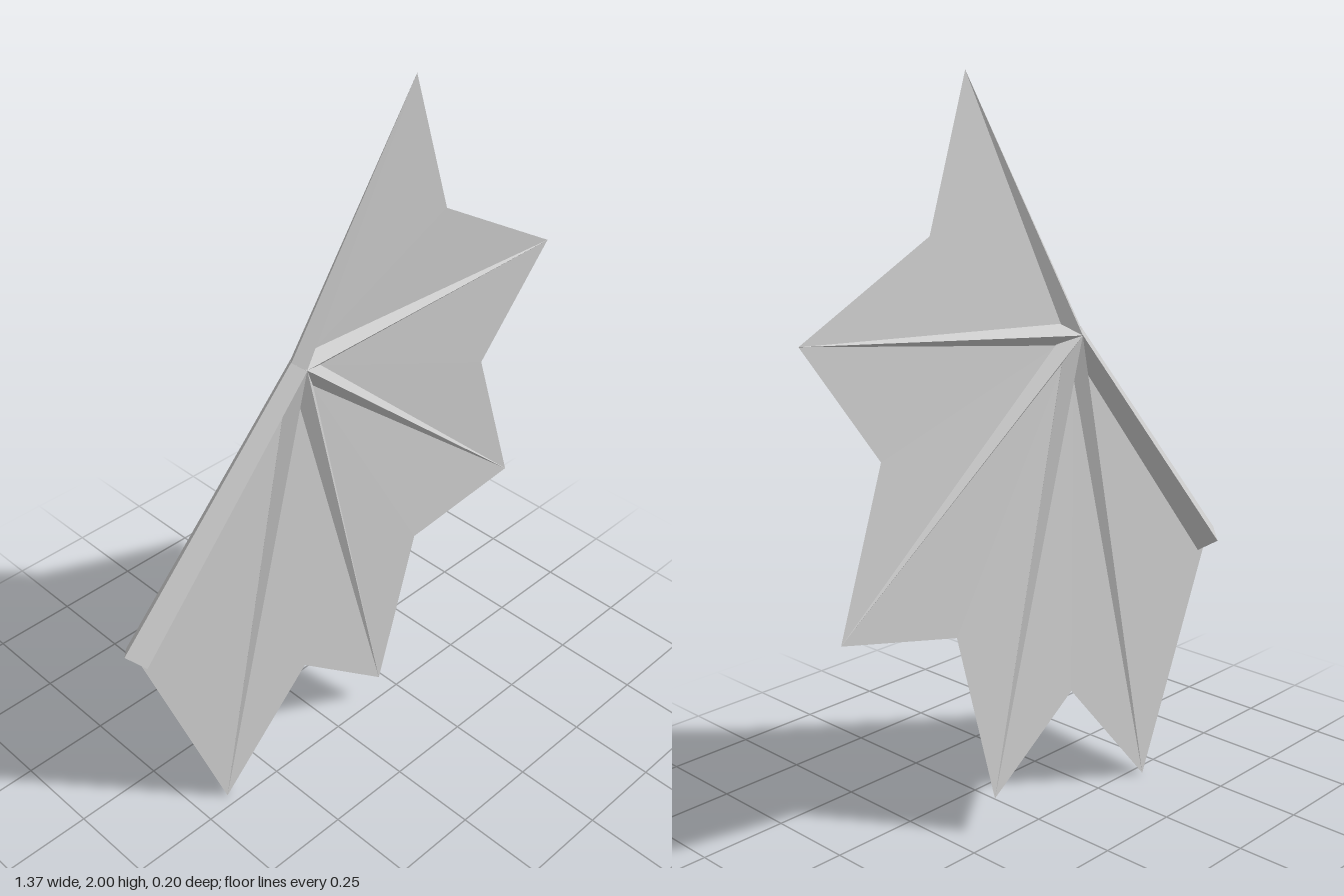
import * as THREE from 'three';

const HUB = new THREE.Vector3(-0.14, 1.335, 0.005);
const ARM_END = new THREE.Vector3(-0.65, 0.672, -0.058);

// Finger tips, clockwise from the top, and the notches between them
const TIPS = [
  [0.175, 2.0, 0.073], [0.68, 1.403, 0.1], [0.613, 0.672, 0.072],
  [0.15, 0.113, 0.02], [-0.41, 0.0, -0.032],
].map((p) => new THREE.Vector3(...p));
const NOTCHES = [
  [0.302, 1.62, 0.07], [0.473, 1.1, 0.07], [0.262, 0.6, 0.04], [-0.132, 0.34, 0.0],
].map((p) => new THREE.Vector3(...p));

// Diamond-section bar between two points, tapering from r0 to r1
function diamondBar(name, from, to, r0, r1, material) {
  const dir = to.clone().sub(from);
  const length = dir.length();
  const geometry = new THREE.CylinderGeometry(r1, r0, length, 4, 1);
  const yAxis = dir.normalize();
  const xAxis = yAxis.clone().cross(new THREE.Vector3(0, 0, 1)).normalize();
  const zAxis = xAxis.clone().cross(yAxis);
  geometry.translate(0, length / 2, 0);
  geometry.applyMatrix4(new THREE.Matrix4().makeBasis(xAxis, yAxis, zAxis).setPosition(from));
  const mesh = new THREE.Mesh(geometry, material);
  mesh.name = name;
  return mesh;
}

// Thin skin panel fanned out from the hub
function panel(name, rim, material) {
  const points = [];
  for (let i = 0; i < rim.length - 1; i++) points.push(HUB, rim[i + 1], rim[i]);
  const geometry = new THREE.BufferGeometry().setFromPoints(points);
  // Corners run anticlockwise seen from the front
  const index = [];
  for (let i = 0; i < points.length; i += 3) index.push(i, i + 1, i + 2);
  geometry.setIndex(index);
  geometry.computeVertexNormals();
  const mesh = new THREE.Mesh(geometry, material);
  mesh.name = name;
  return mesh;
}

export function createModel() {
  const grey = new THREE.MeshStandardMaterial({
    color: 0xcccccc, flatShading: true, side: THREE.DoubleSide,
  });
  grey.name = 'grey';

  const wing = new THREE.Group();
  wing.name = 'wing';

  // Arm bone, slightly thicker at its free end
  wing.add(diamondBar('arm', HUB, ARM_END, 0.031, 0.045, grey));

  // Finger bones tapering to points
  TIPS.forEach((tip, i) => wing.add(diamondBar(`finger${i + 1}`, HUB, tip, 0.03, 0, grey)));

  // Skin between neighbouring fingers, and from the last finger to the arm
  NOTCHES.forEach((notch, i) => {
    wing.add(panel(`membrane${i + 1}`, [TIPS[i], notch, TIPS[i + 1]], grey));
  });
  wing.add(panel('armMembrane', [TIPS[4], ARM_END], grey));

  return wing;
}
